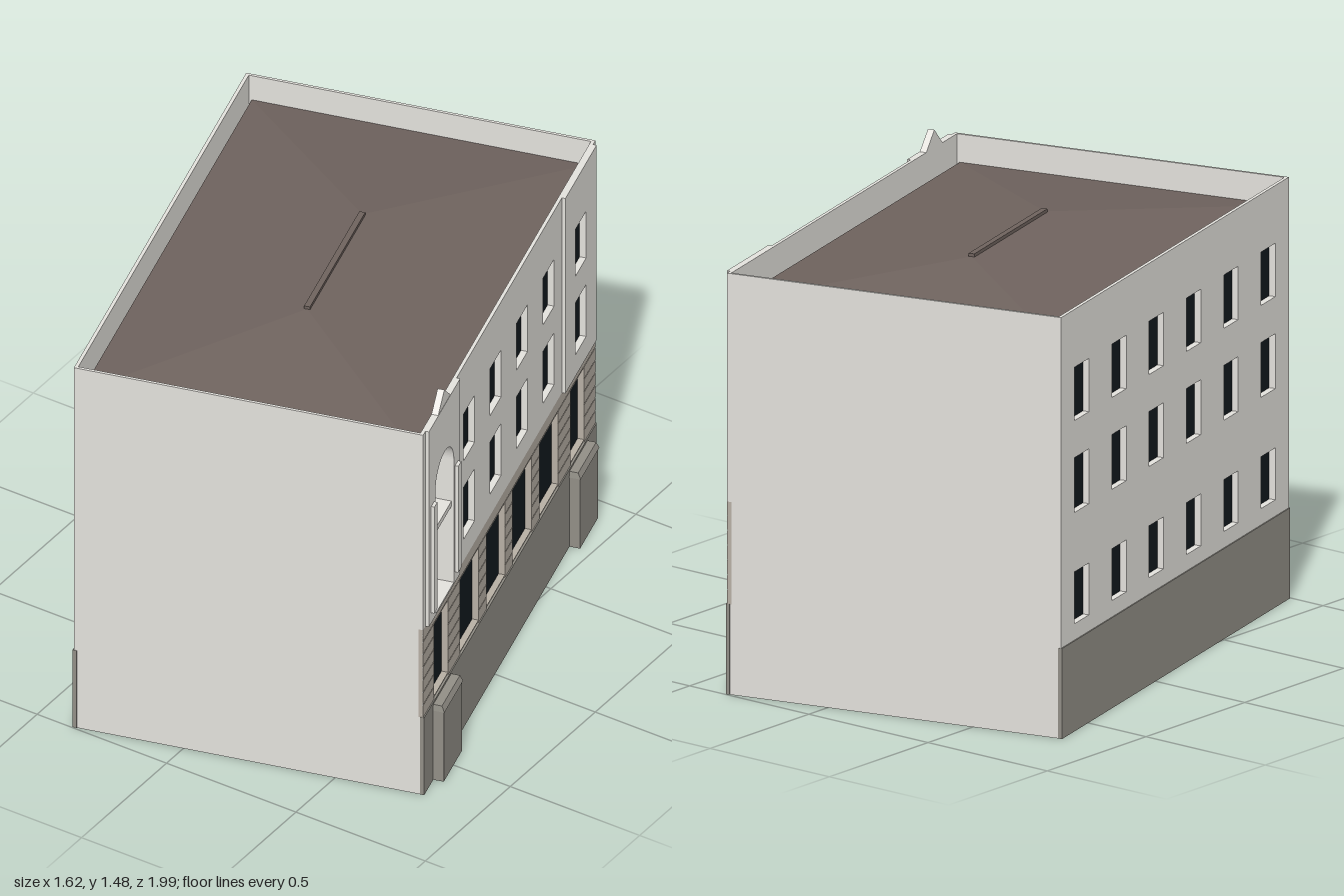
import * as THREE from 'three';

const mat = color => new THREE.MeshStandardMaterial({ color, side: THREE.DoubleSide, flatShading: true });
const plaster = mat(0xe4e2dd), stone = mat(0xb8b0a5), plinthStone = mat(0x928f87);
const roofing = mat(0x6f635e), glass = mat(0x12191e);

const HX = 0.595, HZ = 0.873, TOP = 1.42, BASE = 0.305, BAND = 0.65, T = 0.012;
const BAY = 0.69, BAY_HALF = 0.158, NICHE = 0.105;

export function createModel() {
  const house = new THREE.Group();
  house.name = 'townhouse';

  const add = (name, geometry, material, x = 0, y = 0, z = 0) => {
    const mesh = new THREE.Mesh(geometry, material);
    mesh.name = name;
    mesh.position.set(x, y, z);
    house.add(mesh);
    return mesh;
  };
  // Box given by its limits on each axis
  const box = (name, material, x0, x1, y0, y1, z0, z1) =>
    add(name, new THREE.BoxGeometry(x1 - x0, y1 - y0, z1 - z0), material, (x0 + x1) / 2, (y0 + y1) / 2, (z0 + z1) / 2);

  // Outlines lie in a plane facing +x; the drawing axis runs along -z
  const rect = ({ z, w, y0, y1 }) => new THREE.Shape([
    new THREE.Vector2(-z - w / 2, y0), new THREE.Vector2(-z + w / 2, y0),
    new THREE.Vector2(-z + w / 2, y1), new THREE.Vector2(-z - w / 2, y1)]);
  const arch = (r, y0) => {
    const s = new THREE.Shape();
    s.moveTo(-BAY - r, y0);
    s.lineTo(-BAY + r, y0);
    s.lineTo(-BAY + r, 1.143);
    s.absarc(-BAY, 1.143, r, 0, Math.PI, false);
    s.closePath();
    return s;
  };
  const wall = (name, material, shape, holes, x, depth) => {
    shape.holes.push(...holes);
    const geometry = new THREE.ExtrudeGeometry(shape, { depth, bevelEnabled: false, curveSegments: 20 });
    add(name, geometry, material, x).rotation.y = Math.PI / 2;
  };

  // Open square sleeve lining a window, with a pane at its inner end
  const sleeve = new THREE.CylinderGeometry(Math.SQRT1_2, Math.SQRT1_2, 1, 4, 1, true, Math.PI / 4);
  sleeve.rotateZ(Math.PI / 2);
  const pane = new THREE.PlaneGeometry(1, 1).rotateY(Math.PI / 2);
  const fitWindow = (o, xFace, inward, material) => {
    const depth = 0.022, y = (o.y0 + o.y1) / 2, h = o.y1 - o.y0;
    add('windowReveal', sleeve, material, xFace + inward * depth / 2, y, o.z).scale.set(depth, h, o.w);
    add('windowPane', pane, glass, xFace + inward * depth, y, o.z).scale.set(1, h, o.w);
  };

  // Window layout
  const axes = [0.406, 0.138, -0.13, -0.399];
  const upper = [...axes, -0.688].flatMap(z => [
    { z, w: 0.11, y0: 0.735, y1: 0.94 }, { z, w: 0.11, y0: 1.045, y1: 1.23 }]);
  const lower = [BAY, ...axes, -0.688].map(z => ({ z, w: Math.abs(z) > 0.6 ? 0.14 : 0.19, y0: 0.315, y1: 0.6 }));
  const rear = [];
  for (let i = 0; i < 6; i++) {
    for (const [y0, y1] of [[0.36, 0.535], [0.735, 0.92], [1.045, 1.225]]) {
      rear.push({ z: -0.714 + i * 0.2856, w: 0.11, y0, y1 });
    }
  }

  // Street facade: upper storeys and projecting end bays
  wall('upperFacade', plaster, rect({ z: 0, w: 2 * HZ, y0: BAND, y1: TOP }),
    [...upper.map(rect), arch(0.093, 0.658)], HX - T, T);
  for (const s of [1, -1]) {
    wall('endBay', plaster, rect({ z: s * (BAY + 0.001), w: 2 * BAY_HALF, y0: BAND, y1: TOP }),
      s > 0 ? [arch(0.093, 0.658)] : upper.filter(o => o.z < -0.6).map(rect), HX, T);
  }
  upper.forEach(o => fitWindow(o, o.z < -0.6 ? HX + T : HX, -1, plaster));

  // Rusticated ground storey: backing with stone courses and fine joints
  wall('groundFacade', stone, rect({ z: 0, w: 2 * HZ, y0: BASE, y1: BAND }), lower.map(rect), HX - 0.016, 0.0125);
  lower.forEach(o => fitWindow(o, HX, -1, stone));
  const edges = [HZ, ...lower.flatMap(o => [o.z + o.w / 2, o.z - o.w / 2]), -HZ];
  for (let i = 0; i < 6; i++) {
    const y = BASE + i * 0.05;
    for (let k = 0; k < edges.length; k += 2) {
      box('stoneCourse', stone, HX - 0.005, HX, y, y + 0.0465, edges[k + 1], edges[k]);
    }
  }
  box('stoneLintelCourse', stone, HX - 0.005, HX, 0.605, BAND, -HZ, HZ);

  // Arched loggia with doors, fanlight and a balcony slab
  wall('loggiaLining', plaster, arch(0.1, 0.65), [arch(0.093, 0.658)], HX - NICHE, NICHE);
  wall('loggiaBack', plaster, arch(0.1, 0.65), [], HX - NICHE - 0.008, 0.008);
  for (const [y0, y1] of [[0.665, 0.92], [0.975, 1.14]]) {
    box('loggiaDoor', glass, HX - NICHE, HX - NICHE + 0.003, y0, y1, BAY - 0.05, BAY + 0.05);
  }
  wall('fanlight', glass, arch(0.075, 1.142), [], HX - NICHE, 0.003);
  box('balconySlab', plaster, HX - NICHE, HX + 0.004, 0.957, 0.977, BAY - 0.093, BAY + 0.093);
  for (const s of [1, -1]) {
    const z = BAY + s * 0.121;
    box('bayPanel', plaster, HX + T, HX + 0.023, 0.69, 1.11, z - 0.015, z + 0.015);
  }
  // Small gable crowning the arched bay
  wall('gable', plaster, new THREE.Shape([
    new THREE.Vector2(-BAY - 0.14, 1.345), new THREE.Vector2(-BAY + 0.14, 1.345),
    new THREE.Vector2(-BAY, 1.48)]), [], HX - 0.012, 0.023);

  // Rear wall
  wall('rearWall', plaster, rect({ z: 0, w: 2 * HZ, y0: BASE, y1: TOP }), rear.map(rect), -HX, T);
  rear.forEach(o => fitWindow(o, -HX, 1, plaster));

  // Blank end walls
  for (const s of [1, -1]) {
    const z = s * (HZ - 0.005);
    box('endWall', plaster, -HX + 0.001, HX - 0.001, 0, TOP, z - 0.005, z + 0.005);
  }

  // Plinths and the two facade piers with bevelled caps
  for (const s of [1, -1]) {
    const x = s * (HX - 0.003);
    box('plinth', plinthStone, x - 0.007, x + 0.007, 0, BASE, -HZ - 0.001, HZ + 0.001);
    const z = s * BAY;
    box('pier', plinthStone, HX, HX + 0.04, 0, 0.275, z - 0.092, z + 0.092);
    const cap = new THREE.BoxGeometry(0.043, 0.022, 0.19);
    const p = cap.attributes.position;
    for (let i = 0; i < p.count; i++) {
      if (p.getY(i) > 0) {
        p.setZ(i, p.getZ(i) * 0.96);
        if (p.getX(i) > 0) p.setX(i, 0.012);
      }
    }
    cap.computeVertexNormals();
    add('pierCap', cap, plinthStone, HX + 0.0215, 0.286, z);
  }

  // Shallow hipped roof sunk behind the parapet
  const ex = HX - 0.022, ez = HZ - 0.01, ey = 1.325, ry = 1.39, rz = 0.28;
  const A = [-ex, ey, ez], B = [ex, ey, ez], C = [ex, ey, -ez], D = [-ex, ey, -ez];
  const R = [0, ry, rz], S = [0, ry, -rz];
  const roof = new THREE.BufferGeometry();
  roof.setAttribute('position', new THREE.Float32BufferAttribute(
    [A, B, R, B, C, S, B, S, R, C, D, S, D, A, R, D, R, S].flat(), 3));
  roof.computeVertexNormals();
  add('hippedRoof', roof, roofing);
  box('ridgeCap', roofing, -0.01, 0.01, ry - 0.012, ry + 0.01, -rz, rz);

  // The building stands turned on its plot
  house.rotation.y = THREE.MathUtils.degToRad(14.7);
  house.position.x = -0.007;
  const model = new THREE.Group();
  model.name = 'building';
  model.add(house);
  return model;
}
